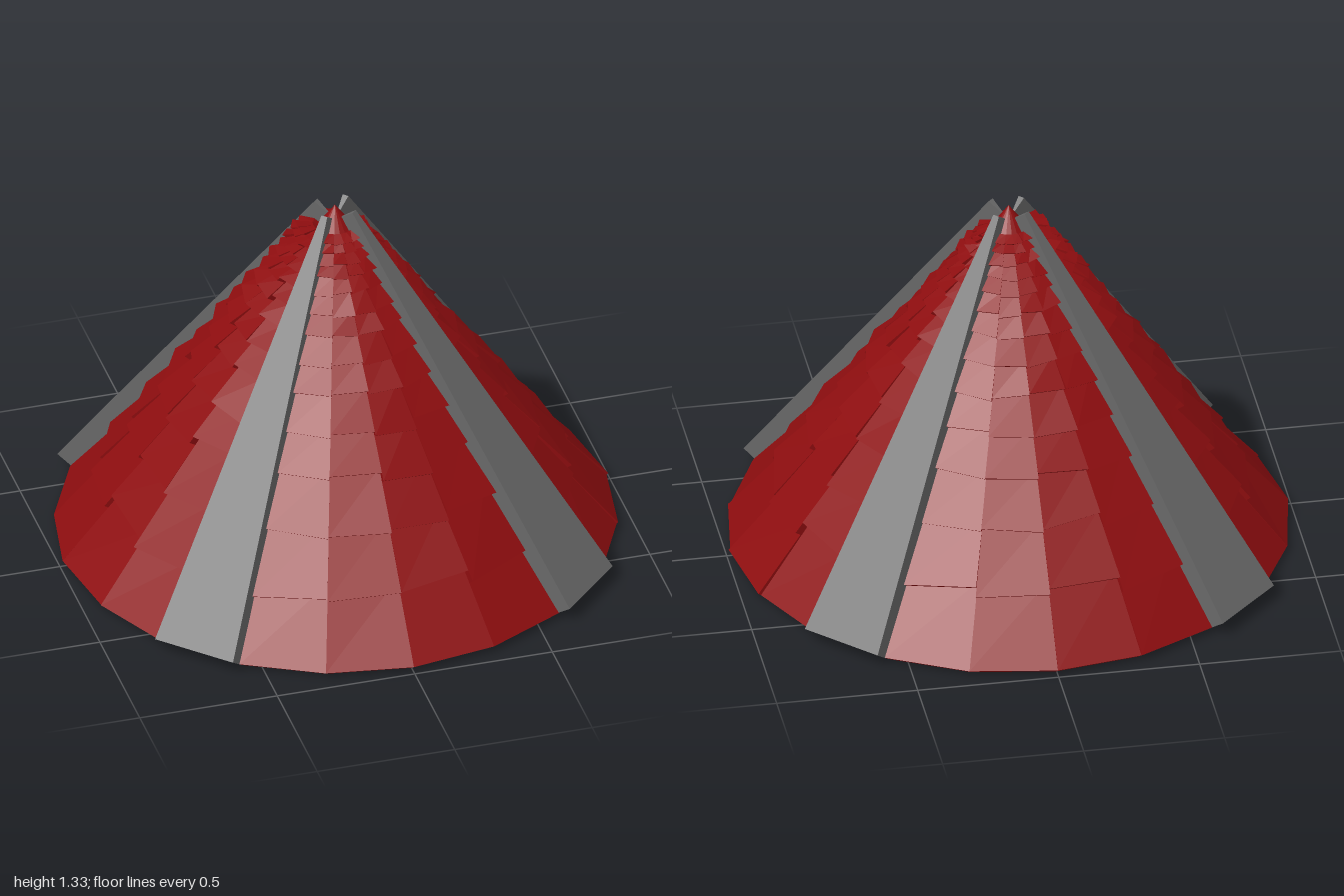
import * as THREE from 'three';
import { mergeGeometries } from 'three/addons/utils/BufferGeometryUtils.js';

const RADIUS = 0.96, HEIGHT = 1.33, SIDES = 20, ROWS = 14;
const STEP = (Math.PI * 2) / SIDES;

// Small seeded generator, returning -1..1
let seed = 7;
function jitter() {
  seed = (seed * 16807) % 2147483647;
  return (seed / 2147483647) * 2 - 1;
}

// Point on the cone at an angle (0 = front), raised along the slope's normal
function conePoint(angle, y, lift) {
  const r = RADIUS * (1 - y / HEIGHT) + lift * 0.81;
  return [r * Math.sin(angle), y + lift * 0.585, r * Math.cos(angle)];
}

function quads(list) {
  const pos = [];
  for (const [a, b, c, d] of list) pos.push(...a, ...b, ...c, ...a, ...c, ...d);
  const g = new THREE.BufferGeometry();
  g.setAttribute('position', new THREE.Float32BufferAttribute(pos, 3));
  g.computeVertexNormals();
  return g;
}

// Slab lying on the cone; each end has left and right heights and a lift
function slab(a0, a1, bottom, top) {
  const ib0 = conePoint(a0, bottom.y0, 0), ib1 = conePoint(a1, bottom.y1, 0);
  const ob0 = conePoint(a0, bottom.y0, bottom.l0), ob1 = conePoint(a1, bottom.y1, bottom.l1);
  const it0 = conePoint(a0, top.y0, 0), it1 = conePoint(a1, top.y1, 0);
  const ot0 = conePoint(a0, top.y0, top.l0), ot1 = conePoint(a1, top.y1, top.l1);
  return {
    end: [ib0, ib1, ob1, ob0],
    body: [
      [ob0, ob1, ot1, ot0],
      [ot0, ot1, it1, it0],
      [ib0, ob0, ot0, it0],
      [ob1, ib1, it1, ot1],
    ],
  };
}

export function createModel() {
  const red = new THREE.MeshStandardMaterial({ color: 0x8e0d0f });
  red.name = 'roofRed';
  const grey = new THREE.MeshStandardMaterial({ color: 0x686868 });
  grey.name = 'ridgeGrey';

  const model = new THREE.Group();
  model.name = 'conicalRoof';
  const add = (parent, name, geometry, material) => {
    const mesh = new THREE.Mesh(geometry, material);
    mesh.name = name;
    parent.add(mesh);
  };

  // Solid core with closed underside
  const core = new THREE.ConeGeometry(RADIUS, HEIGHT, SIDES).toNonIndexed();
  core.translate(0, HEIGHT / 2, 0);
  core.computeVertexNormals();
  add(model, 'roofCore', core, red);

  // Rows shrink towards the peak
  const rowY = (k) => 1.37 * (1 - Math.pow(0.845, k));

  // Four shingled panels, four columns each
  ['front', 'left', 'back', 'right'].forEach((side, q) => {
    const shingles = [];
    const swell = side === 'right' ? 0.035 : 0.004;
    for (let c = -2; c < 2; c++) {
      const a0 = (q * Math.PI) / 2 + c * STEP;
      for (let k = 0; k < ROWS; k++) {
        const h = rowY(k + 1) - rowY(k);
        const y = rowY(k) + (k ? jitter() * 0.13 * h : 0);
        const tilt = k ? jitter() * 0.07 * h : 0;
        const lift = 0.033 + jitter() * 0.007 + (swell * y) / HEIGHT;
        const skew = jitter() * 0.005;
        const topY = Math.min(rowY(k + 1) + 0.2 * h, 1.32);
        const s = slab(
          a0, a0 + STEP,
          { y0: y + tilt, y1: y - tilt, l0: lift + skew, l1: lift - skew },
          { y0: topY, y1: topY, l0: lift * 0.3, l1: lift * 0.3 },
        );
        shingles.push(quads([...s.body, s.end]));
      }
    }
    add(model, side + 'Shingles', mergeGeometries(shingles), red);
  });

  // Four tapering ridge caps with red lower ends
  for (let i = 0; i < 4; i++) {
    const mid = Math.PI / 4 + (i * Math.PI) / 2, half = STEP * 0.48;
    const s = slab(
      mid - half, mid + half,
      { y0: 0, y1: 0, l0: 0.09, l1: 0.09 },
      { y0: 1.29, y1: 1.29, l0: 0.06, l1: 0.06 },
    );
    const ridge = new THREE.Group();
    ridge.name = 'ridge' + (i + 1);
    add(ridge, 'ridgeCap', quads(s.body), grey);
    add(ridge, 'ridgeEnd', quads([s.end]), red);
    model.add(ridge);
  }
  return model;
}
